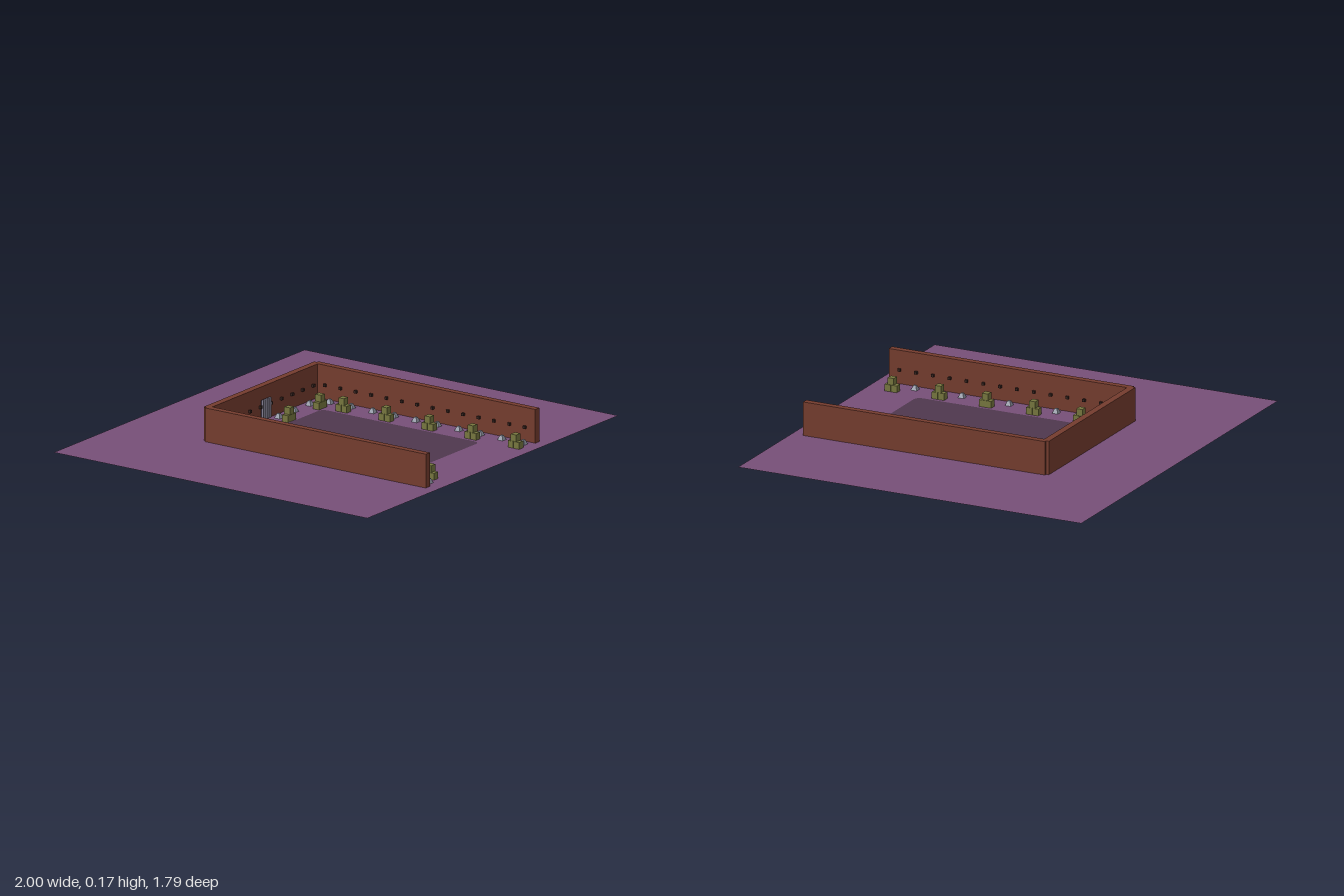
import * as THREE from 'three';

const mat = (name, color, extra = {}) => {
  const m = new THREE.MeshStandardMaterial({ color, ...extra });
  m.name = name;
  return m;
};

// Rectangle with rounded corners, given in x and -z
function roundedRect(path, x0, y0, x1, y1, r) {
  path.moveTo(x0 + r, y0);
  path.lineTo(x1 - r, y0).quadraticCurveTo(x1, y0, x1, y0 + r);
  path.lineTo(x1, y1 - r).quadraticCurveTo(x1, y1, x1 - r, y1);
  path.lineTo(x0 + r, y1).quadraticCurveTo(x0, y1, x0, y1 - r);
  path.lineTo(x0, y0 + r).quadraticCurveTo(x0, y0, x0 + r, y0);
  return path;
}

export function createModel() {
  const root = new THREE.Group();
  root.name = 'walledYard';
  const mats = {
    ground: mat('purple ground', 0x774f78, { side: THREE.DoubleSide }),
    floor: mat('dark floor', 0x4f374e, { side: THREE.DoubleSide }),
    brick: mat('red brown wall', 0x753c2e),
    stud: mat('dark stud', 0x35231f),
    stone: mat('grey stone', 0x9298a6),
    crate: mat('olive crate', 0x77773f),
    bar: mat('pale bar', 0xa8a4bc),
    recess: mat('dark recess', 0x3a3242),
  };

  const add = (parent, name, geo, material, x = 0, y = 0, z = 0) => {
    const mesh = new THREE.Mesh(geo, material);
    mesh.name = name;
    mesh.position.set(x, y, z);
    parent.add(mesh);
    return mesh;
  };
  const box = (w, h, d) => new THREE.BoxGeometry(w, h, d);

  // Ground sheet with an opening filled by the dark floor
  const sheet = new THREE.Shape();
  sheet.moveTo(-1, -0.895);
  sheet.lineTo(1, -0.895).lineTo(1, 0.895).lineTo(-1, 0.895);
  sheet.holes.push(roundedRect(new THREE.Path(), -0.28, -0.62, 0.28, 0.28, 0.035));
  const flat = (shape) => new THREE.ShapeGeometry(shape, 5).rotateX(-Math.PI / 2);
  add(root, 'ground', flat(sheet), mats.ground, 0, 0.001, 0);
  const floor = roundedRect(new THREE.Shape(), -0.28, -0.62, 0.28, 0.28, 0.035);
  add(root, 'floor', flat(floor), mats.floor, 0, 0.001, 0);

  // Walls on three sides, open at the front
  const H = 0.165;
  for (const s of [-1, 1]) {
    add(root, s > 0 ? 'leftWall' : 'rightWall', box(0.033, H, 1.262), mats.brick, s * 0.436, H / 2, 0.206);
  }
  add(root, 'backWall', box(0.88, H, 0.034), mats.brick, 0, H / 2, -0.422);

  // Small studs along the inside of the walls
  const studs = new THREE.Group();
  studs.name = 'wallStuds';
  root.add(studs);
  const studGeo = box(0.013, 0.013, 0.013);
  for (let i = 0; i < 10; i++) {
    add(studs, 'stud', studGeo, mats.stud, -0.378 + i * 0.084, 0.07, -0.4);
  }
  for (let i = 0; i < 14; i++) {
    for (const s of [-1, 1]) add(studs, 'stud', studGeo, mats.stud, s * 0.414, 0.07, -0.36 + i * 0.0877);
  }

  // Barred gate in the middle of the back wall
  const gate = new THREE.Group();
  gate.name = 'gate';
  gate.position.set(0, 0, -0.4);
  root.add(gate);
  add(gate, 'gateRecess', box(0.066, 0.095, 0.009), mats.recess, 0, 0.0525, -0.002);
  for (let i = 0; i < 5; i++) {
    add(gate, 'gateBar', box(0.008, 0.097, 0.006), mats.bar, -0.029 + i * 0.0145, 0.0535, 0.005);
  }

  // Low stones in a row parallel to the walls
  const stones = new THREE.Group();
  stones.name = 'stones';
  root.add(stones);
  const stoneGeo = new THREE.CylinderGeometry(0.009, 0.022, 0.023, 4)
    .rotateY(Math.PI / 4).toNonIndexed();
  stoneGeo.computeVertexNormals();
  for (let i = 0; i < 6; i++) {
    add(stones, 'stone', stoneGeo, mats.stone, -0.315 + i * 0.123, 0.0115, -0.365);
  }
  for (let i = 0; i < 10; i++) {
    for (const s of [-1, 1]) add(stones, 'stone', stoneGeo, mats.stone, s * 0.376, 0.0115, -0.305 + i * 0.1228);
  }

  // Stacks of three crates: two below, one on top
  const crateGeo = box(0.031, 0.033, 0.034);
  const crateStack = (x, z, turned) => {
    const g = new THREE.Group();
    g.name = 'crateStack';
    g.position.set(x, 0, z);
    if (turned) g.rotation.y = Math.PI / 2;
    for (const s of [-1, 1]) add(g, 'lowerCrate', crateGeo, mats.crate, s * 0.0165, 0.0175, 0);
    add(g, 'upperCrate', crateGeo, mats.crate, 0, 0.0515, 0);
    root.add(g);
  };
  for (let i = 0; i < 5; i++) {
    crateStack(-0.313, -0.22 + i * 0.246, true);
    crateStack(0.313, -0.183 + i * 0.246, true);
  }
  for (let i = 0; i < 3; i++) crateStack(-0.198 + i * 0.246, -0.302, false);

  return root;
}
